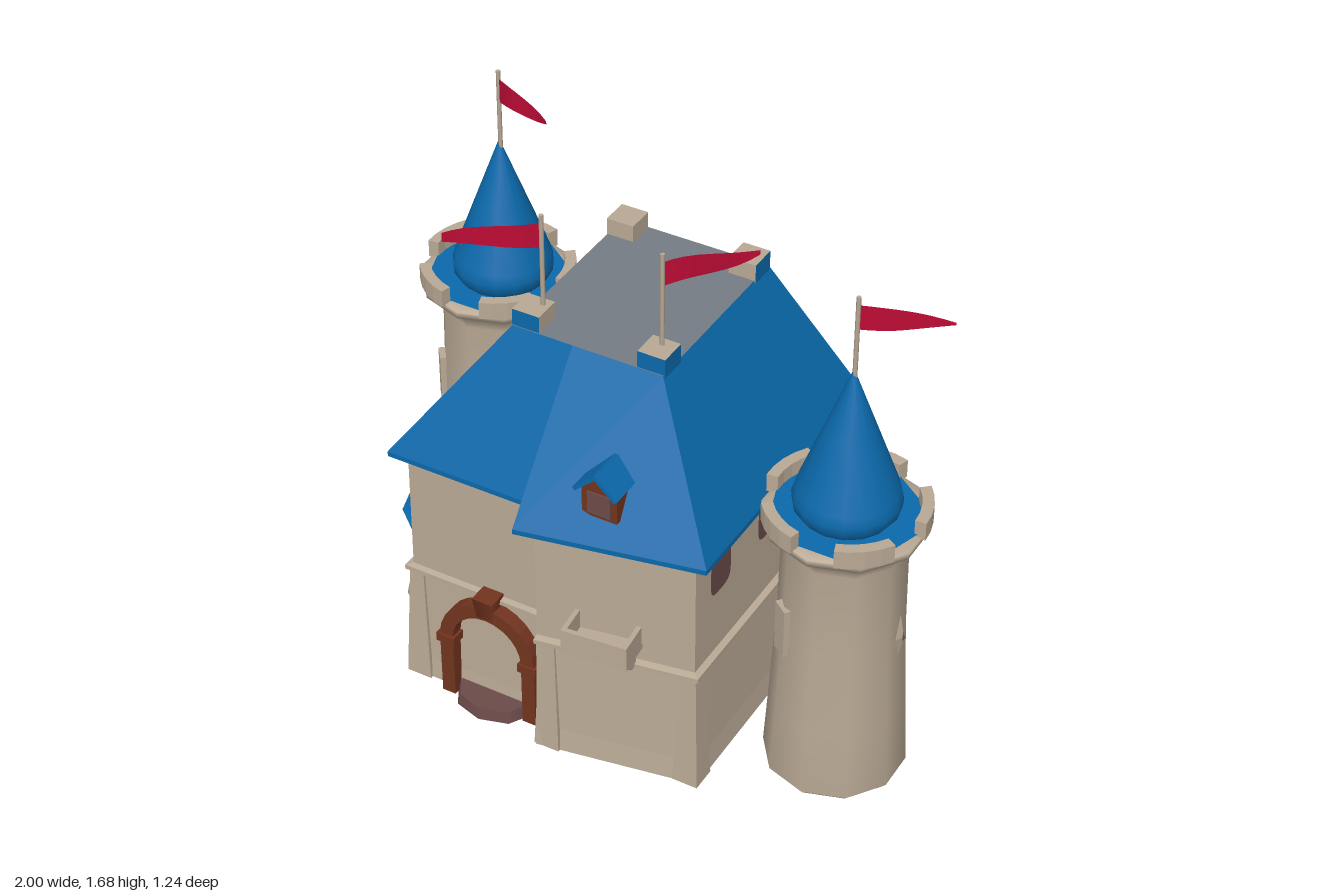
import * as THREE from 'three';

const mat = (name, color, side = THREE.FrontSide) => {
  const m = new THREE.MeshStandardMaterial({ color, side });
  m.name = name;
  return m;
};

export function createModel() {
  const stone = mat('stone', 0xb9a995);
  const blue = mat('blueTiles', 0x0b69ab);
  const wood = mat('brownWood', 0x73341f);
  const mauve = mat('mauveFloor', 0x6b4b4a);
  const grey = mat('greyFlatRoof', 0x747c83);
  const red = mat('redCloth', 0xbd0c35, THREE.DoubleSide);

  const castle = new THREE.Group();
  castle.name = 'castle';
  const add = (name, geo, material, x = 0, y = 0, z = 0, parent = castle) => {
    const m = new THREE.Mesh(geo, material);
    m.name = name;
    m.position.set(x, y, z);
    parent.add(m);
    return m;
  };
  const box = (name, material, w, h, d, x, y, z, parent) =>
    add(name, new THREE.BoxGeometry(w, h, d), material, x, y, z, parent);

  // Flat-sided skin between rings of [x, y, z] corners, lowest ring first
  const loft = (rings) => {
    const p = [];
    for (let r = 0; r + 1 < rings.length; r++) {
      const lo = rings[r], hi = rings[r + 1], n = lo.length;
      for (let i = 0; i < n; i++) {
        const j = (i + 1) % n;
        p.push(...lo[i], ...lo[j], ...hi[j], ...lo[i], ...hi[j], ...hi[i]);
      }
    }
    const g = new THREE.BufferGeometry();
    g.setAttribute('position', new THREE.Float32BufferAttribute(p, 3));
    g.computeVertexNormals();
    return g;
  };
  const plate = (plan, up) => {
    const s = new THREE.Shape(plan.map(([x, z]) => new THREE.Vector2(x, up ? -z : z)));
    return new THREE.ShapeGeometry(s).rotateX(up ? -Math.PI / 2 : Math.PI / 2);
  };
  const lathe = (pts, sides) =>
    new THREE.LatheGeometry(pts.map(([r, y]) => new THREE.Vector2(r, y)), sides);

  // Main walls: flared foot, ledge at mid height, front right bay set forward
  const plan = [[-0.57, 0.445], [-0.07, 0.445], [-0.07, 0.54], [0.42, 0.455], [0.42, -0.46], [-0.57, -0.46]];
  const ring = (y, s) => plan.map(([x, z]) => [-0.075 + (x + 0.075) * s, y, z * s]);
  add('walls', loft([[0, 1.04], [0.08, 1.025], [0.4, 1.005], [0.405, 1.035], [0.42, 1.035],
    [0.425, 0.995], [0.86, 0.99]].map(([y, s]) => ring(y, s))), stone);
  add('wallBase', plate(ring(0, 1.04).map(([x, , z]) => [x, z]), false), mauve);

  // Flared buttresses at the front corners
  for (const [x, z] of [[-0.035, 0.515], [0.405, 0.445], [-0.55, 0.43]]) {
    const g = new THREE.CylinderGeometry(0.035, 0.06, 0.4, 4);
    add('buttress', g.rotateY(Math.PI / 4).toNonIndexed(), stone, x, 0.2, z).geometry.computeVertexNormals();
  }

  // Hipped main roof with eaves and a flat deck
  const eave = [[-0.61, 0.48], [-0.1, 0.48], [-0.1, 0.605], [0.47, 0.49], [0.47, -0.49], [-0.61, -0.51]];
  const crown = [[-0.28, 0.29], [-0.08, 0.29], [-0.08, 0.29], [0.215, 0.29], [0.215, -0.34], [-0.28, -0.34]];
  const at = (pts, y) => pts.map(([x, z]) => [x, y, z]);
  add('mainRoof', loft([at(eave, 0.845), at(eave, 0.862), at(crown, 1.32)]), blue);
  add('eaveUnderside', plate(eave, false), mauve, 0, 0.845, 0);
  add('roofDeck', plate([crown[0], crown[3], crown[4], crown[5]], true), grey, 0, 1.32, 0);

  // Corner posts of the deck: blue outside, stone inside and on top
  for (const sx of [-1, 1]) for (const sz of [-1, 1]) {
    const mats = [sx > 0 ? blue : stone, sx < 0 ? blue : stone, stone, stone,
      sz > 0 ? blue : stone, sz < 0 ? blue : stone];
    box('deckPost', mats, 0.09, 0.075, 0.09, sx > 0 ? 0.175 : -0.237, 1.337, sz > 0 ? 0.242 : -0.293);
  }

  // Round tower with battlements and a pointed roof
  const tower = (name, x, z, roofX, slits) => {
    const t = new THREE.Group();
    t.name = name;
    t.position.set(x, 0, z);
    castle.add(t);
    add('towerShaft', lathe([[0, 0], [0.205, 0], [0.218, 0.015], [0.205, 0.25], [0.19, 0.55], [0.185, 0.84],
      [0.205, 0.89], [0.243, 0.91], [0.246, 0.935], [0.2, 0.937]], 10), stone, 0, 0, 0, t);
    add('towerFloor', new THREE.CircleGeometry(0.222, 10).rotateX(-Math.PI / 2), blue, 0, 0.942, 0, t);
    for (let i = 0; i < 5; i++) {
      const a = i * Math.PI * 0.4, b = a + 0.72;
      const s = new THREE.Shape();
      s.absarc(0, 0, 0.247, a, b, false);
      s.absarc(0, 0, 0.212, b, a, true);
      const g = new THREE.ExtrudeGeometry(s, { depth: 0.06, bevelEnabled: false, curveSegments: 2 });
      add('merlon', g.rotateX(-Math.PI / 2), stone, 0, 0.93, 0, t);
    }
    add('towerRoof', lathe([[0.135, 0.94], [0.157, 0.97], [0.16, 1.0], [0.152, 1.03], [0.078, 1.23], [0, 1.44]], 16),
      blue, roofX, 0, 0, t);
    for (const a of slits) {
      const slit = box('slitFrame', stone, 0.06, 0.17, 0.05, Math.sin(a) * 0.175, 0.56, Math.cos(a) * 0.175, t);
      slit.rotation.y = a;
    }
    return t;
  };
  tower('leftTower', -0.76, -0.38, 0.02, [0.2, -0.9, 3.3]);
  const rightTower = tower('rightTower', 0.73, 0.14, 0, [-0.65, 2.6]);
  const gem = new THREE.OctahedronGeometry(0.04).scale(0.35, 2, 0.7);
  add('slitFrame', gem, stone, 0.193, 0.56, 0.01, rightTower);
  add('slitOpening', gem.clone().scale(1.1, 0.45, 0.4), mauve, 0.196, 0.56, 0.01, rightTower);

  // Flags: waving pennants; ends and heights differ
  const flag = (x, z, foot, ex, ez, yEnd, hEnd, wave) => {
    add('flagPole', new THREE.CylinderGeometry(0.007, 0.007, 1.68 - foot, 6), stone, x, (1.68 + foot) / 2, z);
    const g = new THREE.PlaneGeometry(1, 1, 8, 1), p = g.attributes.position;
    for (let i = 0; i < p.count; i++) {
      const u = p.getX(i) + 0.5, v = p.getY(i);
      const h = 0.08 + (hEnd - 0.08) * u * u, bend = Math.sin(u * 6.28) * wave;
      p.setXYZ(i, x + (ex - x) * u, 1.612 + (yEnd - 1.612) * u + bend + v * h, z + (ez - z) * u + bend * 1.2);
    }
    g.computeVertexNormals();
    add('flag', g, red);
  };
  flag(-0.735, -0.38, 1.4, -0.5, -0.27, 1.627, 0.01, 0.01);
  flag(-0.215, 0.225, 1.36, -0.53, 0.26, 1.52, 0.03, -0.012);
  flag(0.175, 0.225, 1.36, 0.35, -0.02, 1.6, 0.015, 0.012);
  flag(0.733, 0.14, 1.4, 0.99, 0.07, 1.638, 0.008, -0.008);

  // Dormer with gable roof
  box('dormerBody', wood, 0.115, 0.1, 0.14, 0.14, 0.99, 0.45);
  box('dormerWindow', mauve, 0.075, 0.075, 0.006, 0.14, 0.99, 0.522);
  const gable = (w, lo, hi, t) => new THREE.Shape([[-w, lo], [w, lo], [w, lo + t], [0, hi], [-w, lo + t]]
    .map(([x, y]) => new THREE.Vector2(x, y)));
  add('dormerGable', new THREE.ExtrudeGeometry(gable(0.058, 0, 0.058, 0.001), { depth: 0.13, bevelEnabled: false }),
    wood, 0.14, 1.04, 0.395);
  for (const s of [-1, 1]) {
    const slab = box('dormerRoof', blue, 0.094, 0.012, 0.17, 0.14 + s * 0.034, 1.071, 0.462);
    slab.rotation.z = -s * 0.75;
  }

  // Balcony on brackets
  const balcony = new THREE.Group();
  balcony.name = 'balcony';
  balcony.position.set(0.155, 0, 0.5);
  balcony.rotation.y = 0.1;
  castle.add(balcony);
  box('balconyFloor', stone, 0.21, 0.02, 0.11, 0, 0.485, 0.05, balcony);
  box('balconyFront', stone, 0.21, 0.08, 0.015, 0, 0.52, 0.1, balcony);
  for (const s of [-1, 1]) box('balconySide', stone, 0.015, 0.08, 0.1, s * 0.0975, 0.52, 0.05, balcony);
  const bracket = new THREE.Shape([[0, 0.41], [0.03, 0.41], [0.09, 0.48], [0, 0.48]]
    .map(([x, y]) => new THREE.Vector2(x, y)));
  for (const x of [-0.075, 0, 0.075]) {
    const g = new THREE.ExtrudeGeometry(bracket, { depth: 0.025, bevelEnabled: false });
    add('balconyBracket', g.translate(0, 0, -0.0125).rotateY(-Math.PI / 2), stone, x, 0, 0, balcony);
  }

  // Door: arch, capitals, keystone, step
  const arch = new THREE.Shape();
  arch.moveTo(0.168, 0).lineTo(0.168, 0.23);
  arch.absarc(0, 0.23, 0.168, 0, Math.PI, false);
  arch.lineTo(-0.168, 0).lineTo(-0.122, 0).lineTo(-0.122, 0.23);
  arch.absarc(0, 0.23, 0.122, Math.PI, 0, true);
  arch.lineTo(0.122, 0);
  add('doorArch', new THREE.ExtrudeGeometry(arch, { depth: 0.06, bevelEnabled: false, curveSegments: 6 }),
    wood, -0.28, 0, 0.435);
  for (const s of [-1, 1]) box('doorCapital', wood, 0.064, 0.03, 0.075, -0.28 + s * 0.145, 0.22, 0.465);
  add('doorKeystone', new THREE.CylinderGeometry(0.05, 0.036, 0.075, 4, 1).rotateY(Math.PI / 4),
    wood, -0.28, 0.4, 0.475);
  add('doorStep', new THREE.CylinderGeometry(0.12, 0.13, 0.04, 8).scale(1, 1, 0.7), mauve, -0.28, 0.02, 0.465);

  // Rounded windows on the right wall
  const pane = new THREE.Shape();
  pane.absellipse(0, 0, 0.06, 0.075, 0, Math.PI * 2);
  const paneGeo = new THREE.ShapeGeometry(pane, 24), pp = paneGeo.attributes.position;
  for (let i = 0; i < pp.count; i++) {
    const x = pp.getX(i) / 0.06, y = pp.getY(i) / 0.075, k = Math.pow(x ** 4 + y ** 4, -0.25);
    pp.setXY(i, x * k * 0.06, y * k * 0.072);
  }
  paneGeo.rotateY(Math.PI / 2);
  for (const z of [-0.26, 0.02, 0.31]) add('sideWindow', paneGeo, mauve, 0.421, 0.715, z);

  // Lean-to porch on the left wall
  const porch = new THREE.Group();
  porch.name = 'porch';
  porch.position.set(-0.58, 0, 0.06);
  porch.scale.z = 0.85;
  castle.add(porch);
  add('porchRoof', new THREE.CylinderGeometry(0.02, 0.25, 0.14, 12), blue, 0, 0.415, 0, porch);
  add('porchBeam', new THREE.CylinderGeometry(0.225, 0.21, 0.025, 12), wood, 0, 0.333, 0, porch);
  add('porchBase', new THREE.CylinderGeometry(0.235, 0.25, 0.075, 12), stone, 0, 0.0385, 0, porch);
  add('porchFloor', new THREE.CircleGeometry(0.21, 12).rotateX(-Math.PI / 2), mauve, 0, 0.079, 0, porch);
  add('porchBottom', new THREE.CircleGeometry(0.25, 12).rotateX(Math.PI / 2), mauve, 0, 0, 0, porch);
  for (const [x, z] of [[-0.16, 0], [-0.12, 0.14], [-0.12, -0.14]]) {
    add('porchPost', new THREE.CylinderGeometry(0.02, 0.024, 0.25, 8), wood, x, 0.2, z, porch);
    add('porchPostHead', new THREE.CylinderGeometry(0.035, 0.02, 0.05, 8), wood, x, 0.3, z, porch);
  }
  return castle;
}
